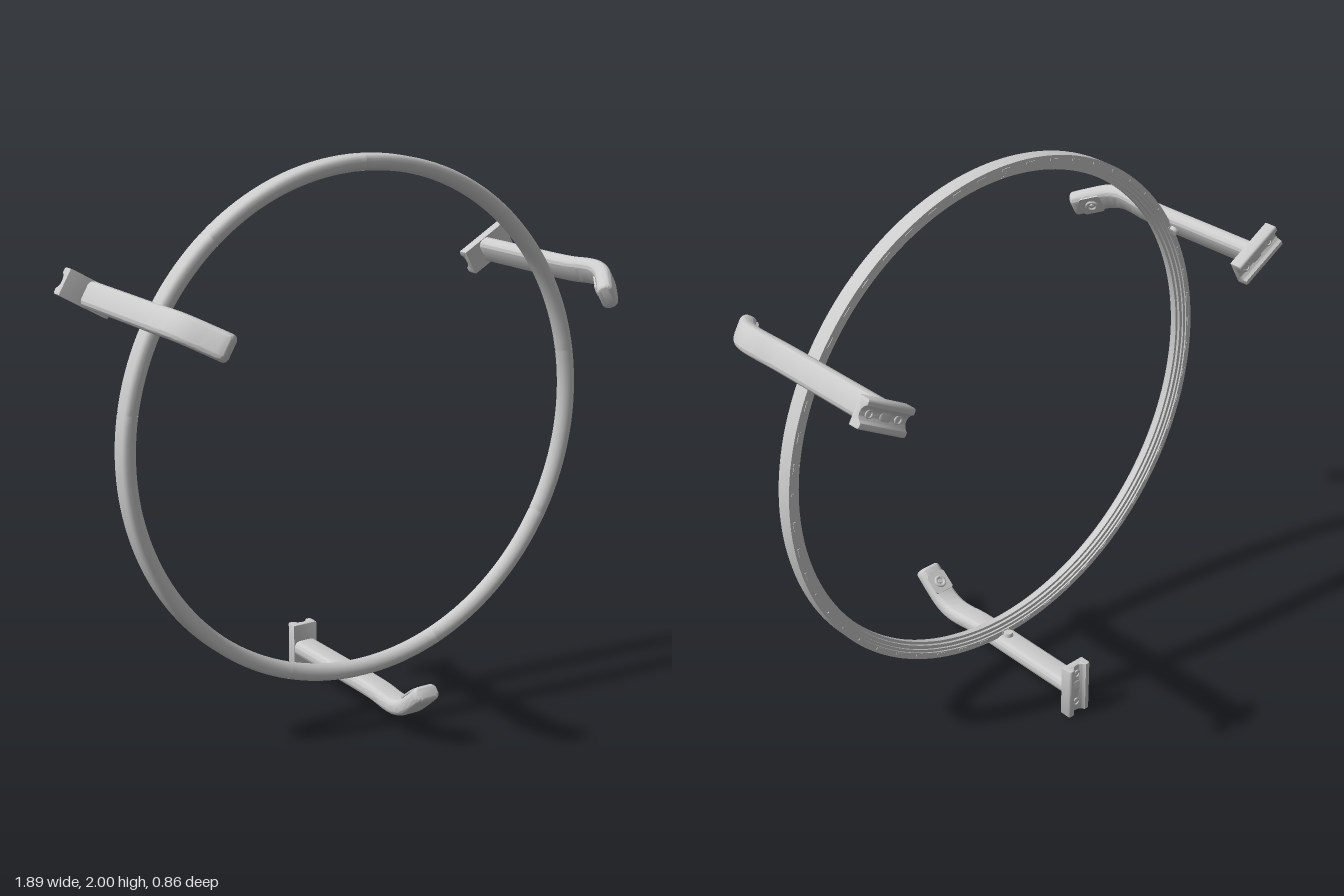
import * as THREE from 'three';
import { toCreasedNormals } from 'three/addons/utils/BufferGeometryUtils.js';

const CENTRE_Y = 1.067;
const material = new THREE.MeshStandardMaterial({ color: 0xcccccc, side: THREE.DoubleSide });

function add(parent, name, geometry, x = 0, y = 0, z = 0) {
  const mesh = new THREE.Mesh(geometry, material);
  mesh.name = name;
  mesh.position.set(x, y, z);
  parent.add(mesh);
  return mesh;
}

function roundedRect(w, h, r) {
  const x = w / 2 - r, y = h / 2 - r, s = new THREE.Shape();
  s.absarc(x, y, r, 0, Math.PI / 2);
  s.absarc(-x, y, r, Math.PI / 2, Math.PI);
  s.absarc(-x, -y, r, Math.PI, Math.PI * 1.5);
  s.absarc(x, -y, r, Math.PI * 1.5, Math.PI * 2);
  return s;
}

// Ring: rounded front, flat rim, stepped recess on the inner back edge
const ringProfile = [
  [0.933, -0.035], [0.933, 0.016], [0.929, 0.025], [0.92, 0.031], [0.908, 0.032],
  [0.894, 0.028], [0.883, 0.018], [0.877, 0.004], [0.877, -0.012], [0.887, -0.012],
  [0.887, -0.022], [0.9, -0.022], [0.9, -0.029], [0.91, -0.029], [0.91, -0.035], [0.933, -0.035],
];

function ringPiece(shrink, segments, start, length) {
  const pts = ringProfile.map(([r, z]) =>
    new THREE.Vector2(0.912 + (r - 0.912) * shrink, z * shrink));
  const geo = new THREE.LatheGeometry(pts, segments, start, length);
  return toCreasedNormals(geo.rotateX(Math.PI / 2), 0.6);
}

function createRing() {
  const ring = new THREE.Group();
  ring.name = 'ring';
  const step = (Math.PI * 2) / 9, gap = 0.003;
  for (let i = 0; i < 9; i++) {
    add(ring, 'ringSegment', ringPiece(1, 20, (i + 0.5) * step + gap / 2, step - gap));
  }
  // Core closing the fine seams between segments
  add(ring, 'ringCore', ringPiece(0.92, 144, 0, Math.PI * 2));
  // Small clips along the back rim
  for (let i = 0; i < 54; i++) {
    const a = ((i + 0.5) / 54) * Math.PI * 2;
    const clip = add(ring, 'rimClip', new THREE.BoxGeometry(0.008, 0.035, 0.006),
      Math.cos(a) * 0.918, Math.sin(a) * 0.918, -0.034);
    clip.rotation.z = a;
  }
  return ring;
}

// Centreline of the arm, running from back to front
const armPath = new THREE.CatmullRomCurve3([
  [0.11, -0.4], [0.11, -0.15], [0.11, 0.05], [0.107, 0.13], [0.099, 0.2], [0.1, 0.25],
  [0.117, 0.3], [0.155, 0.352], [0.197, 0.402],
].map(([y, z]) => new THREE.Vector3(0, y, z)));

// Straight rounded bar bent along the centreline
function armGeometry() {
  const length = armPath.getLength(), bevel = 0.014;
  const geo = new THREE.ExtrudeGeometry(roundedRect(0.094, 0.058, 0.024), {
    depth: length, steps: 48, curveSegments: 6,
    bevelThickness: bevel, bevelSize: bevel, bevelOffset: -bevel, bevelSegments: 4,
  });
  const pos = geo.attributes.position;
  for (let i = 0; i < pos.count; i++) {
    const s = pos.getZ(i), u = THREE.MathUtils.clamp(s / length, 0, 1);
    const p = armPath.getPointAt(u), t = armPath.getTangentAt(u);
    const over = s - u * length, h = pos.getY(i);
    pos.setXYZ(i, pos.getX(i), p.y + t.z * h + t.y * over, p.z - t.y * h + t.z * over);
  }
  return toCreasedNormals(geo, 0.7);
}

// Mounting plate with a shallow channel down its back
function plateGeometry() {
  const s = new THREE.Shape();
  s.moveTo(-0.049, 0.385);
  s.lineTo(0.049, 0.385);
  s.lineTo(0.049, 0.422);
  s.quadraticCurveTo(0.048, 0.43, 0.04, 0.43);
  s.lineTo(0.028, 0.43);
  s.quadraticCurveTo(0.018, 0.41, 0, 0.41);
  s.quadraticCurveTo(-0.018, 0.41, -0.028, 0.43);
  s.lineTo(-0.04, 0.43);
  s.quadraticCurveTo(-0.048, 0.43, -0.049, 0.422);
  s.closePath();
  const b = 0.004;
  const geo = new THREE.ExtrudeGeometry(s, {
    depth: 0.204 - 2 * b, curveSegments: 8,
    bevelThickness: b, bevelSize: b, bevelOffset: -b, bevelSegments: 2,
  });
  return toCreasedNormals(geo.rotateX(-Math.PI / 2).translate(0, b, 0), 0.6);
}

function createArm() {
  const arm = new THREE.Group();
  add(arm, 'bentArm', armGeometry());
  add(arm, 'mountingPlate', plateGeometry());
  // Screw heads in the plate channel
  for (const y of [0.04, 0.165]) {
    add(arm, 'plateScrew', new THREE.TorusGeometry(0.013, 0.004, 8, 24), 0, y, -0.411);
  }
  // Locating stud beside the ring
  add(arm, 'locatingStud', new THREE.CylinderGeometry(0.016, 0.02, 0.02, 20), 0, 0.143, -0.05);
  // Pad and ringed boss on the inner face of the tip
  const tip = new THREE.Group();
  tip.name = 'tipBoss';
  const u = 0.925, t = armPath.getTangentAt(u);
  tip.position.copy(armPath.getPointAt(u));
  tip.rotation.x = -Math.atan2(t.y, t.z);
  const pad = new THREE.ExtrudeGeometry(roundedRect(0.08, 0.08, 0.012), { depth: 0.006, bevelEnabled: false });
  add(tip, 'tipPad', pad.rotateX(-Math.PI / 2), 0, 0.026, 0);
  add(tip, 'bossRing', new THREE.TorusGeometry(0.018, 0.006, 8, 28).rotateX(Math.PI / 2), 0, 0.033, 0);
  add(tip, 'bossPin', new THREE.CylinderGeometry(0.008, 0.008, 0.012, 16), 0, 0.032, 0);
  arm.add(tip);
  return arm;
}

export function createModel() {
  const model = new THREE.Group();
  model.name = 'ringWithArms';
  const ring = createRing();
  ring.position.y = CENTRE_Y;
  model.add(ring);
  // Three arms spaced evenly round the ring
  ['bottomArm', 'leftArm', 'rightArm'].forEach((name, i) => {
    const pivot = new THREE.Group();
    const arm = createArm();
    arm.position.y = -CENTRE_Y;
    pivot.name = name;
    pivot.add(arm);
    pivot.position.y = CENTRE_Y;
    pivot.rotation.z = (i * Math.PI * 2) / 3;
    model.add(pivot);
  });
  return model;
}
